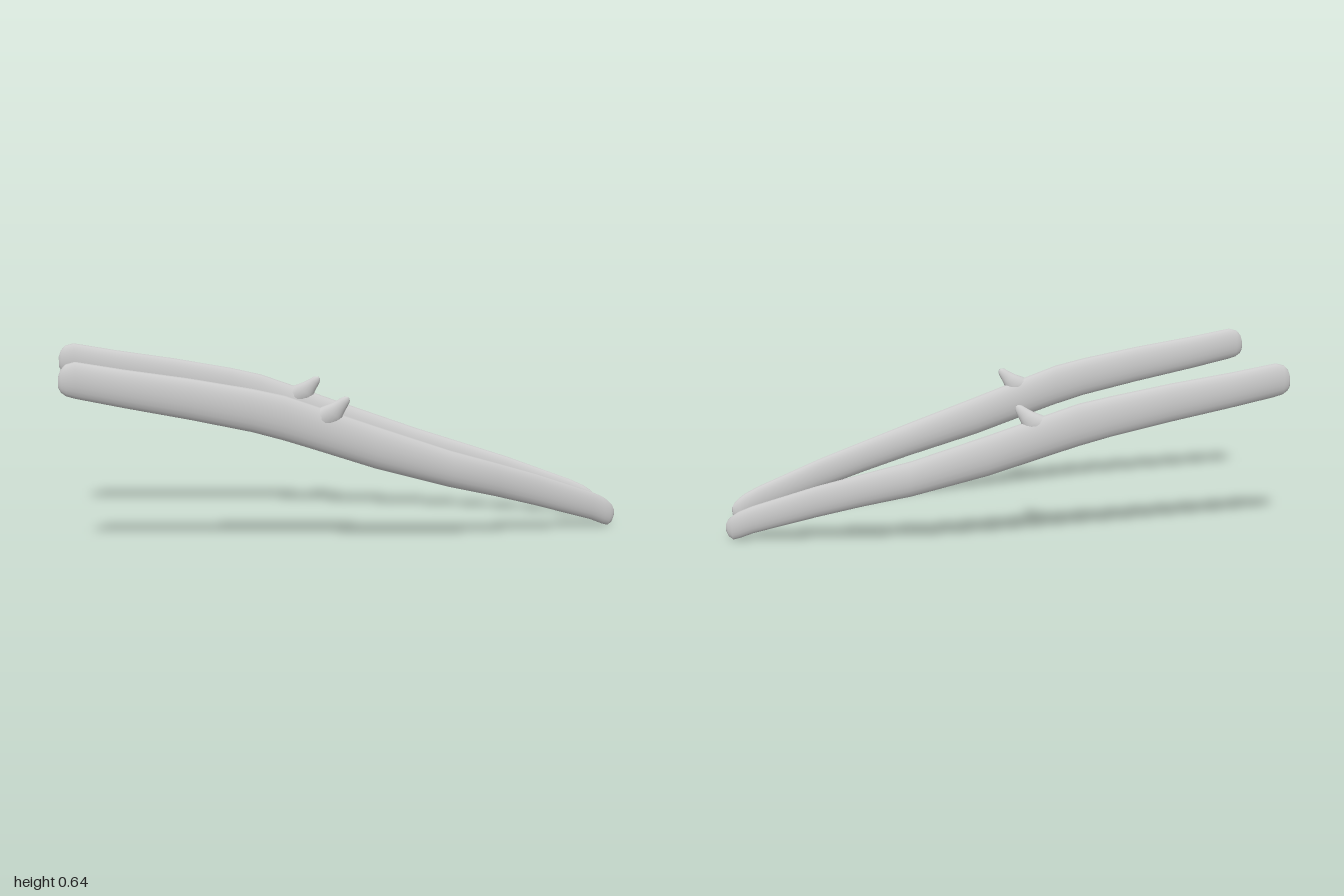
import * as THREE from 'three';

// Shared side profile: [fraction along stick, top y, bottom y, half width]
const PROFILE = [
  [0, 0.595, 0.56, 0.004], [0.004, 0.618, 0.545, 0.014], [0.012, 0.635, 0.533, 0.019],
  [0.027, 0.643, 0.524, 0.024], [0.105, 0.615, 0.49, 0.026], [0.21, 0.582, 0.447, 0.027],
  [0.315, 0.543, 0.4, 0.028], [0.37, 0.518, 0.368, 0.03], [0.42, 0.483, 0.335, 0.031],
  [0.525, 0.408, 0.264, 0.031], [0.66, 0.314, 0.188, 0.031], [0.75, 0.26, 0.143, 0.025],
  [0.832, 0.21, 0.098, 0.022], [0.95, 0.128, 0.028, 0.02], [0.975, 0.106, 0.008, 0.02],
  [0.987, 0.09, 0.001, 0.017], [0.995, 0.075, 0.012, 0.012], [1, 0.058, 0.032, 0.004],
];
const SIDES = 20;

// Closed skin over a list of rings, each ring an array of SIDES points
function loft(rings) {
  const pos = [], idx = [];
  rings.forEach(r => r.forEach(p => pos.push(p.x, p.y, p.z)));
  for (let i = 0; i < rings.length - 1; i++) {
    for (let j = 0; j < SIDES; j++) {
      const a = i * SIDES + j, b = i * SIDES + (j + 1) % SIDES;
      idx.push(a, b, a + SIDES, b, b + SIDES, a + SIDES);
    }
  }
  // End caps
  const last = (rings.length - 1) * SIDES;
  for (let j = 1; j < SIDES - 1; j++) {
    idx.push(0, j + 1, j, last, last + j, last + j + 1);
  }
  const g = new THREE.BufferGeometry();
  g.setAttribute('position', new THREE.Float32BufferAttribute(pos, 3));
  g.setIndex(idx);
  g.computeVertexNormals();
  return g;
}

// Ellipse spanned by two half-axes
function ring(center, a, b) {
  return Array.from({ length: SIDES }, (_, j) => {
    const t = (j / SIDES) * Math.PI * 2;
    return center.clone().addScaledVector(a, Math.cos(t)).addScaledVector(b, Math.sin(t));
  });
}

// Bent stick following a plan line of [x, z] points, with a thorn-like spur on top
function makeStick(name, plan, material) {
  const path = new THREE.CurvePath();
  const pts = plan.map(([x, z]) => new THREE.Vector3(x, 0, z));
  for (let i = 1; i < pts.length; i++) path.add(new THREE.LineCurve3(pts[i - 1], pts[i]));
  const up = new THREE.Vector3(0, 1, 0);
  const sideways = u => {
    const d = path.getPoint(Math.min(1, u + 0.02)).sub(path.getPoint(Math.max(0, u - 0.02)));
    return new THREE.Vector3(-d.z, 0, d.x).normalize();
  };

  // Body: upright ellipses along the path
  const body = new THREE.Mesh(loft(PROFILE.map(([u, top, bottom, w]) => {
    const c = path.getPoint(u).setY((top + bottom) / 2);
    return ring(c, up.clone().multiplyScalar((top - bottom) / 2), sideways(u).multiplyScalar(w));
  })), material);
  body.name = 'stickBody';

  // Spur: [fraction, centre y, radius along stick, half width, sideways shift]
  const spurRings = [
    [0.432, 0.42, 0.055, 0.026, 0.002], [0.449, 0.455, 0.04, 0.024, 0.004],
    [0.46, 0.474, 0.027, 0.018, 0.008], [0.469, 0.491, 0.019, 0.014, 0.012],
    [0.474, 0.502, 0.014, 0.01, 0.014], [0.477, 0.508, 0.005, 0.004, 0.014],
  ].map(([u, y, r, w, shift]) => {
    const s = sideways(u);
    const c = path.getPoint(u).setY(y).addScaledVector(s, shift);
    const along = new THREE.Vector3(s.z, 0, -s.x);
    const axis = up.clone().multiplyScalar(0.54).addScaledVector(along, -0.84).multiplyScalar(r);
    return ring(c, axis, s.multiplyScalar(w));
  });
  const spur = new THREE.Mesh(loft(spurRings), material);
  spur.name = 'spur';

  const stick = new THREE.Group();
  stick.name = name;
  stick.add(body, spur);
  return stick;
}

export function createModel() {
  const material = new THREE.MeshStandardMaterial({ color: 0xcccccc });
  const model = new THREE.Group();
  model.name = 'stickPair';
  model.add(
    makeStick('frontStick', [[-1, 0.142], [-0.4, 0.303], [-0.08, 0.381], [0.26, 0.46], [0.935, 0.487]], material),
    makeStick('rearStick', [[-0.805, -0.494], [-0.2, -0.316], [0.1, -0.195], [0.41, -0.06], [1, 0.3]], material),
  );
  return model;
}
